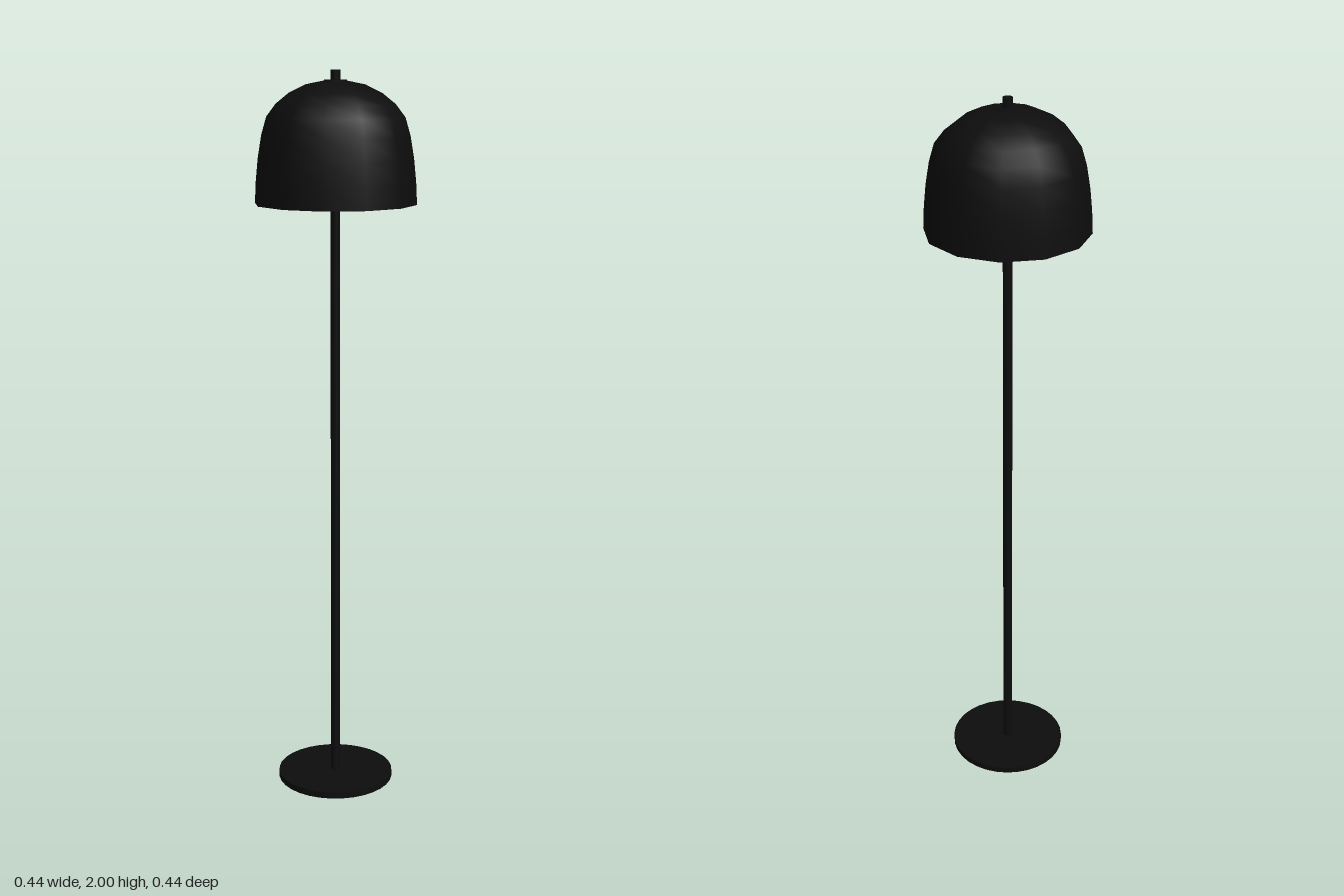
import * as THREE from 'three';

const SHADE_SIDES = 12;

export function createModel() {
  const lamp = new THREE.Group();
  lamp.name = 'floorLamp';
  const black = new THREE.MeshStandardMaterial({ color: 0x0d0d0d });

  const add = (name, geometry, y = 0, parent = lamp) => {
    const mesh = new THREE.Mesh(geometry, black);
    mesh.name = name;
    mesh.position.y = y;
    parent.add(mesh);
    return mesh;
  };
  const lathe = (points) =>
    new THREE.LatheGeometry(points.map(([r, y]) => new THREE.Vector2(r, y)), SHADE_SIDES);

  // Flat round foot and slim pole, which pokes out above the shade
  add('base', new THREE.CylinderGeometry(0.163, 0.163, 0.018, 32), 0.009);
  add('pole', new THREE.CylinderGeometry(0.013, 0.013, 1.99, 16), 1.005);

  // Faceted dome shade: outer skin, inner skin and the rim joining them
  const shade = new THREE.Group();
  shade.name = 'shade';
  lamp.add(shade);
  const outer = [
    [0.219, 1.65], [0.216, 1.71], [0.21, 1.77], [0.2, 1.83], [0.186, 1.878],
    [0.16, 1.912], [0.125, 1.94], [0.08, 1.962], [0.03, 1.972], [0.012, 1.972],
  ];
  const inner = outer.map(([r, y], i) => [r - 0.004, i ? y - 0.004 : y]).reverse();
  add('shadeOuter', lathe(outer), 0, shade);
  add('shadeInner', lathe(inner), 0, shade);
  add('shadeRim', lathe([inner[inner.length - 1], outer[0]]), 0, shade);

  // Thin washer where the pole passes through the shade
  add('collar', new THREE.CylinderGeometry(0.03, 0.03, 0.006, 24), 1.971);

  return lamp;
}
